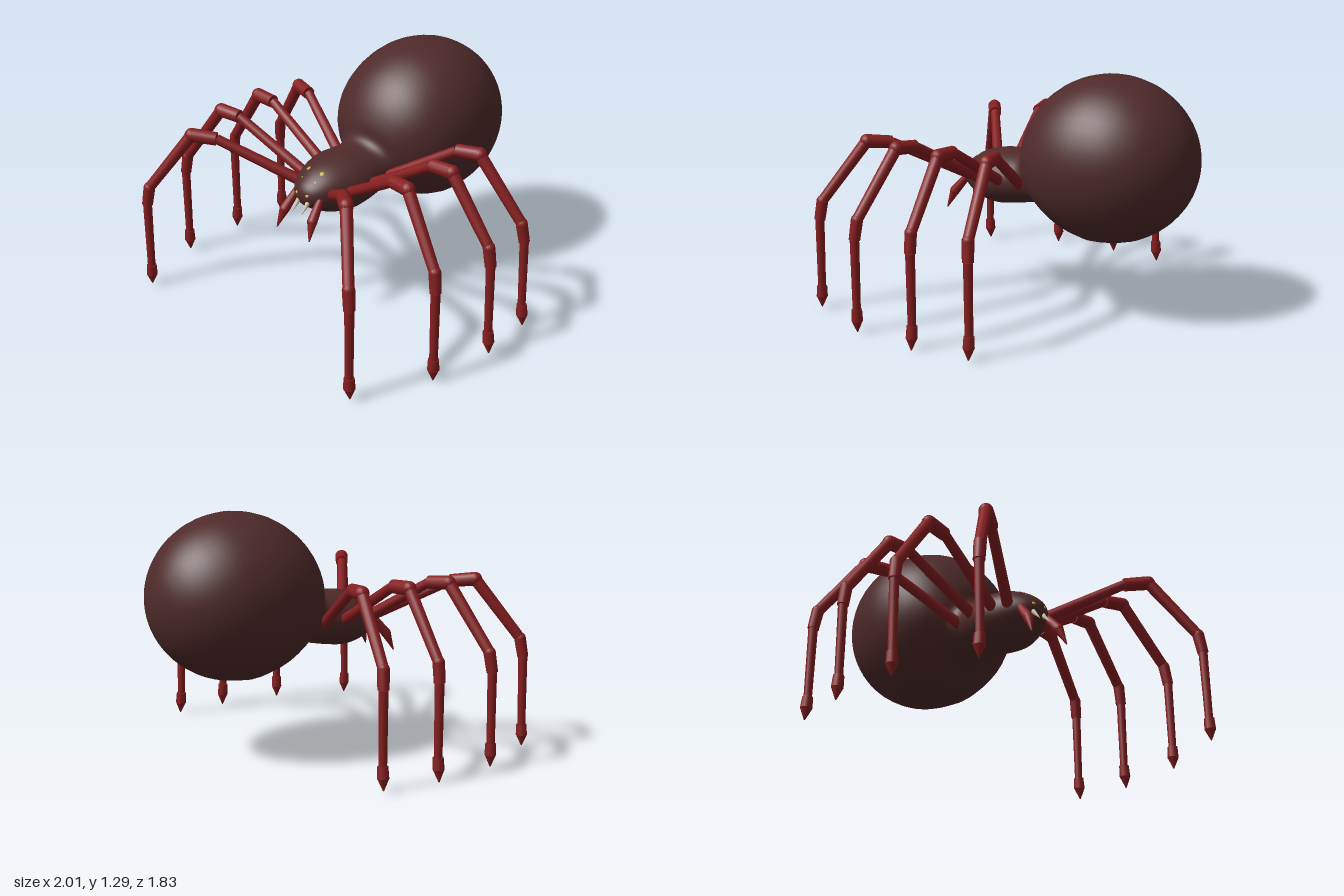
import * as THREE from 'three';

const bodyMat = new THREE.MeshStandardMaterial({ color: 0x4f2a2a });
const legMat = new THREE.MeshStandardMaterial({ color: 0x861e20 });
const eyeMat = new THREE.MeshStandardMaterial({ color: 0xc4ac2c });
const toothMat = new THREE.MeshStandardMaterial({ color: 0xc8c0a4 });
const V = (x, y, z) => new THREE.Vector3(x, y, z);
const UP = V(0, 1, 0);

function add(parent, name, geometry, material) {
  const mesh = new THREE.Mesh(geometry, material);
  mesh.name = name;
  parent.add(mesh);
  return mesh;
}

// Tapered round rod from a to b
function rod(parent, name, a, b, ra, rb, material = legMat) {
  const dir = b.clone().sub(a);
  const mesh = add(parent, name, new THREE.CylinderGeometry(rb, ra, dir.length(), 14), material);
  mesh.position.copy(a).addScaledVector(dir, 0.5);
  mesh.quaternion.setFromUnitVectors(UP, dir.normalize());
  return mesh;
}

function ball(parent, name, p, r, material = legMat) {
  const mesh = add(parent, name, new THREE.SphereGeometry(r, 14, 10), material);
  mesh.position.copy(p);
  return mesh;
}

// Body: one smooth skin over tilted oval rings, abdomen to head
function bodyGeometry() {
  // rows: top z, top y, bottom z, bottom y, half width
  const rings = [0, 10, 22, 36, 52, 70].map((deg) => {
    const a = deg * Math.PI / 180, s = Math.sin(a), z = -0.43 - 0.48 * Math.cos(a);
    return [z, 0.855 + 0.437 * s, z, 0.855 - 0.44 * s, 0.42 * s];
  });
  rings.push(
    [-0.43, 1.29, -0.43, 0.415, 0.422],
    [-0.26, 1.255, -0.35, 0.425, 0.412],
    [-0.12, 1.17, -0.27, 0.45, 0.378],
    [-0.03, 1.06, -0.2, 0.49, 0.322],
    [0.018, 0.95, -0.15, 0.525, 0.26],
    [0.03, 0.87, -0.08, 0.556, 0.2],
    [0.07, 0.835, 0, 0.56, 0.183],
    [0.14, 0.83, 0.11, 0.54, 0.195],
    [0.22, 0.83, 0.22, 0.526, 0.197],
    [0.31, 0.812, 0.31, 0.537, 0.17],
    [0.38, 0.782, 0.38, 0.565, 0.135],
    [0.44, 0.738, 0.44, 0.602, 0.088],
    [0.466, 0.705, 0.466, 0.635, 0.045],
    [0.475, 0.67, 0.475, 0.67, 0]);
  const top = new THREE.CatmullRomCurve3(rings.map((r) => V(r[4], r[1], r[0])), false, 'catmullrom');
  const bottom = new THREE.CatmullRomCurve3(rings.map((r) => V(r[4], r[3], r[2])), false, 'catmullrom');
  const rows = 76, cols = 48, pos = [], index = [];
  for (let i = 0; i <= rows; i++) {
    const t = top.getPoint(i / rows), b = bottom.getPoint(i / rows);
    for (let j = 0; j < cols; j++) {
      const a = j / cols * Math.PI * 2, k = (1 + Math.cos(a)) / 2;
      pos.push(t.x * Math.sin(a), b.y + (t.y - b.y) * k, b.z + (t.z - b.z) * k);
    }
  }
  for (let i = 0; i < rows; i++) {
    for (let j = 0; j < cols; j++) {
      const n = (j + 1) % cols;
      const a = i * cols + j, b = a + cols, c = i * cols + n, d = c + cols;
      index.push(a, b, c, b, d, c);
    }
  }
  const g = new THREE.BufferGeometry();
  g.setAttribute('position', new THREE.Float32BufferAttribute(pos, 3));
  g.setIndex(index);
  g.computeVertexNormals();
  return g;
}

// Each leg: hip, knee start, knee end, shin end, foot top, ankle, claw tip
const LEGS = {
  frontLeg: [[0.12, 0.68, 0.36], [0.47, 0.895, 0.63], [0.575, 0.91, 0.71], [0.755, 0.6, 0.875],
    [0.77, 0.5, 0.885], [0.77, 0.13, 0.89], [0.775, 0.015, 0.89]],
  secondLeg: [[0.14, 0.67, 0.28], [0.57, 0.92, 0.39], [0.69, 0.93, 0.415], [0.93, 0.6, 0.48],
    [0.945, 0.5, 0.488], [0.945, 0.13, 0.49], [0.945, 0.01, 0.49]],
  thirdLeg: [[0.14, 0.67, 0.145], [0.59, 0.925, 0.13], [0.715, 0.93, 0.128], [0.955, 0.6, 0.115],
    [0.968, 0.5, 0.112], [0.97, 0.13, 0.11], [0.98, 0.005, 0.11]],
  rearLeg: [[0.14, 0.67, 0.03], [0.55, 0.92, -0.1], [0.67, 0.925, -0.135], [0.91, 0.6, -0.195],
    [0.925, 0.5, -0.205], [0.93, 0.13, -0.208], [0.94, 0.01, -0.21]],
};

function makeLeg(name, points, side) {
  const leg = new THREE.Group();
  leg.name = name;
  const [hip, kneeA, kneeB, shin, foot, ankle, tip] = points.map((p) => V(p[0] * side, p[1], p[2]));
  rod(leg, 'thigh', hip, kneeA, 0.03, 0.026);
  rod(leg, 'knee', kneeA, kneeB, 0.035, 0.037);
  ball(leg, 'kneeCap', kneeB, 0.037);
  rod(leg, 'shin', kneeB, shin, 0.032, 0.028);
  ball(leg, 'shinJoint', shin, 0.031);
  rod(leg, 'lowerJoint', shin, foot, 0.031, 0.029);
  rod(leg, 'foot', foot, ankle, 0.024, 0.021);
  const cuff = ankle.clone().lerp(tip, 0.5);
  rod(leg, 'ankle', ankle, cuff, 0.027, 0.03);
  rod(leg, 'claw', cuff, tip, 0.029, 0.003);
  return leg;
}

export function createModel() {
  const spider = new THREE.Group();
  spider.name = 'spider';
  add(spider, 'body', bodyGeometry(), bodyMat);

  for (const side of [1, -1]) {
    const label = side > 0 ? 'left' : 'right';
    for (const [name, points] of Object.entries(LEGS)) {
      spider.add(makeLeg(label + name[0].toUpperCase() + name.slice(1), points, side));
    }

    // Curved feelers beside the mouth
    const feeler = new THREE.Group();
    feeler.name = label + 'Feeler';
    const a = V(0.088 * side, 0.66, 0.42), b = V(0.105 * side, 0.57, 0.495), c = V(0.122 * side, 0.475, 0.535);
    rod(feeler, 'feelerBase', a, b, 0.02, 0.027);
    ball(feeler, 'feelerJoint', b, 0.027);
    rod(feeler, 'feelerTip', b, c, 0.027, 0.003);
    spider.add(feeler);

    // Fang
    rod(spider, label + 'Fang', V(0.034 * side, 0.64, 0.455), V(0.034 * side, 0.585, 0.505), 0.014, 0.001, toothMat);

    // Four eyes in a row, shrinking toward the mouth
    [[0.77, 0.365, 0.02], [0.738, 0.41, 0.018], [0.708, 0.442, 0.015], [0.682, 0.46, 0.013]]
      .forEach(([y, z, r], i) => {
        const eye = ball(spider, label + 'Eye' + (i + 1), V((0.045 - i * 0.003) * side, y, z), r, eyeMat);
        eye.scale.y = 0.75;
        eye.rotation.x = 0.6;
      });
  }

  // Body parts sit slightly off the middle
  spider.children.forEach((part) => { part.position.x -= 0.011; });
  return spider;
}
